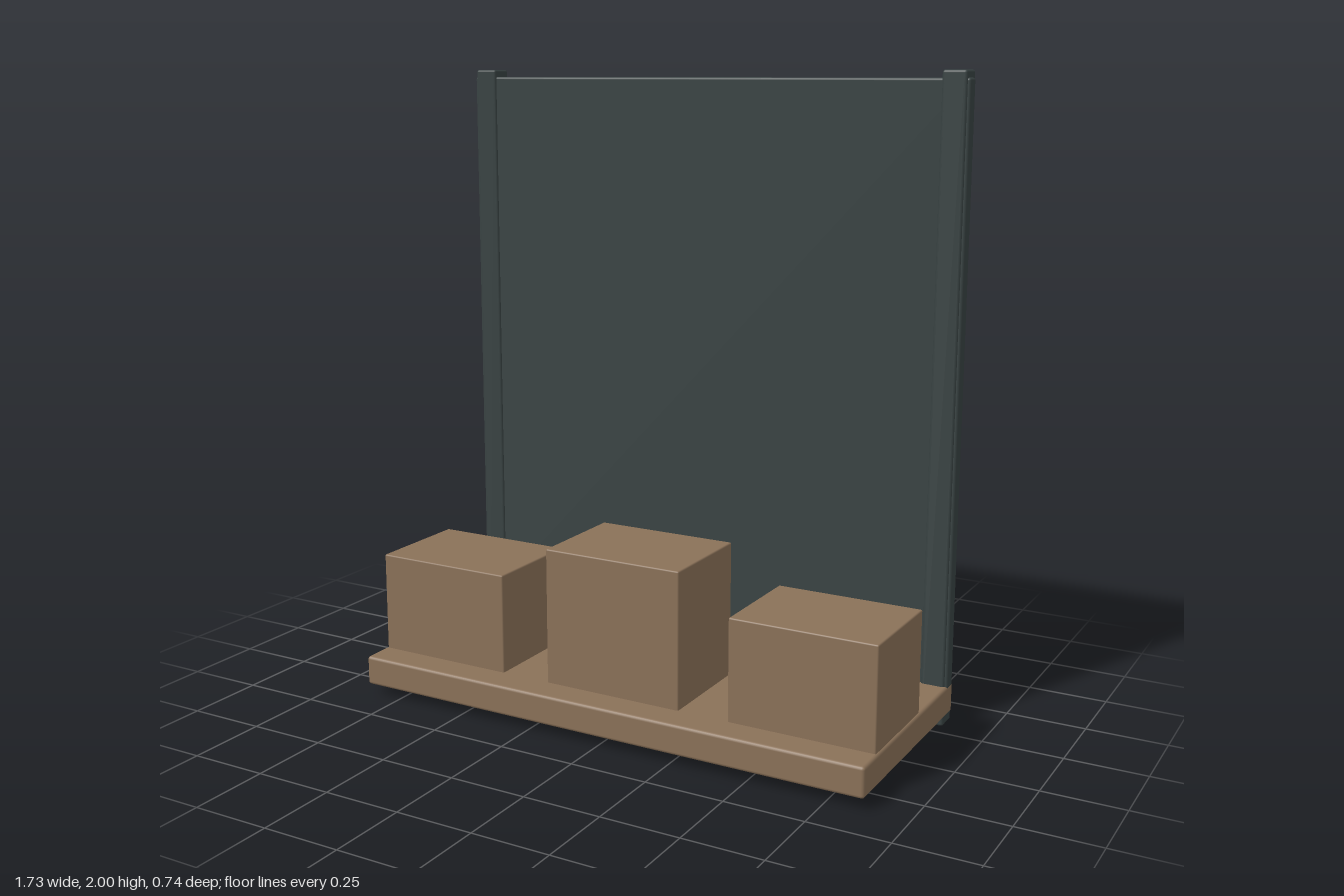
import * as THREE from 'three';
import { RoundedBoxGeometry } from 'three/addons/geometries/RoundedBoxGeometry.js';

export function createModel() {
  const model = new THREE.Group();
  model.name = 'displayStand';

  const wood = new THREE.MeshStandardMaterial({ color: 0x8a7158 });
  wood.name = 'warm brown';
  const slate = new THREE.MeshStandardMaterial({ color: 0x384242 });
  slate.name = 'dark slate';

  // Softly rounded block given by its minimum and maximum corners
  function block(name, material, min, max, radius) {
    const size = max.map((v, i) => v - min[i]);
    const mesh = new THREE.Mesh(new RoundedBoxGeometry(...size, 2, radius), material);
    mesh.position.set(...max.map((v, i) => (v + min[i]) / 2));
    mesh.name = name;
    model.add(mesh);
  }

  // Base platform
  block('platform', wood, [-0.867, 0.035, -0.352], [0.867, 0.13, 0.37], 0.01);

  // Back panel standing on the platform
  block('backPanel', slate, [-0.867, 0.12, -0.348], [0.867, 1.977, -0.302], 0.008);

  // Posts holding the panel, reaching the ground
  for (const [name, x] of [['leftPost', 0.82], ['rightPost', -0.82]]) {
    block(name, slate, [x - 0.038, 0, -0.37], [x + 0.038, 2, -0.295], 0.008);
  }

  // Three plinths, the middle one taller
  for (const [name, x, top] of [['leftPlinth', 0.628, 0.45], ['centrePlinth', 0, 0.562], ['rightPlinth', -0.628, 0.45]]) {
    block(name, wood, [x - 0.232, 0.12, -0.074], [x + 0.232, top, 0.271], 0.005);
  }

  return model;
}
